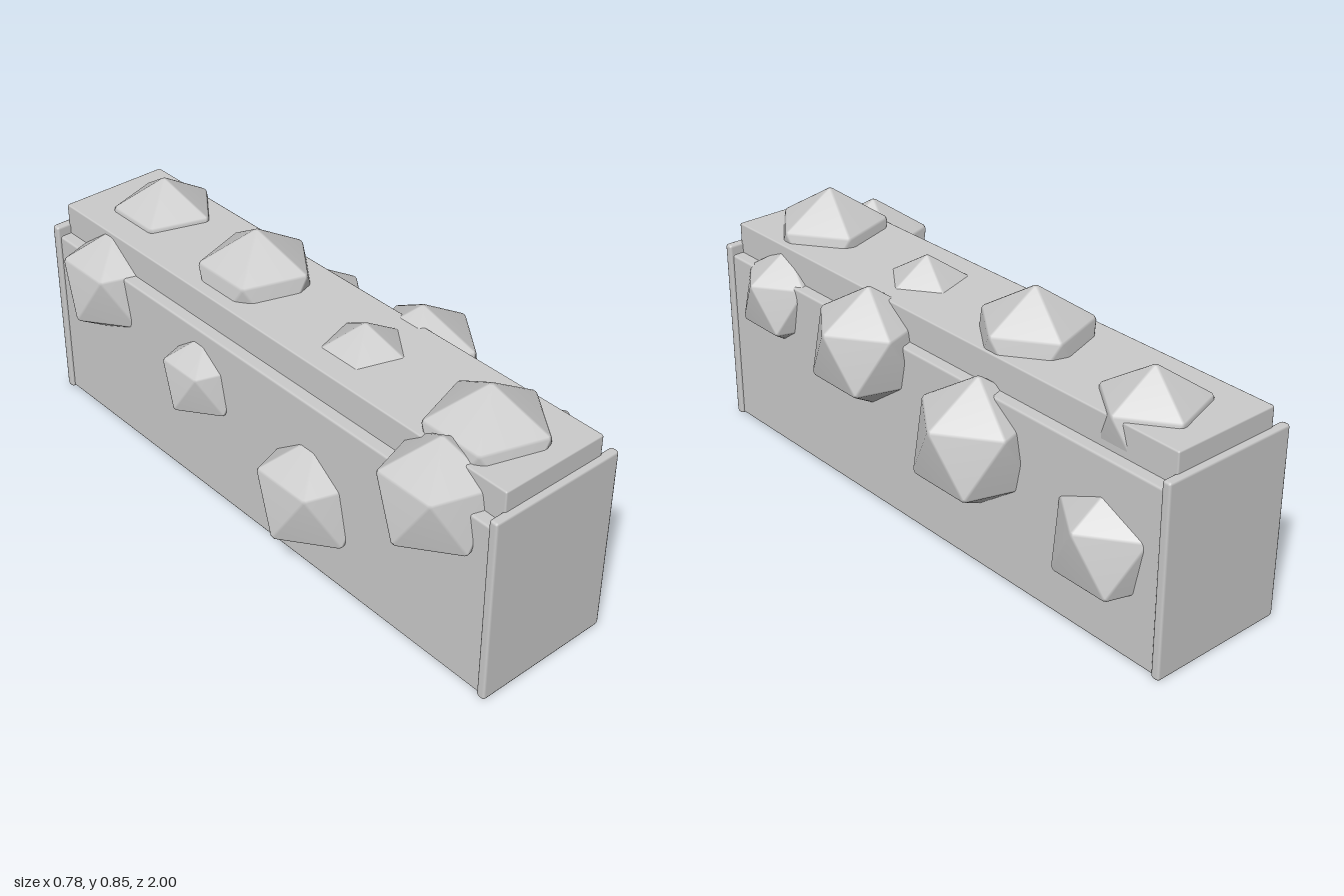
import * as THREE from 'three';
import { RoundedBoxGeometry } from 'three/addons/geometries/RoundedBoxGeometry.js';
import { ConvexGeometry } from 'three/addons/geometries/ConvexGeometry.js';
import { mergeVertices } from 'three/addons/utils/BufferGeometryUtils.js';

const grey = new THREE.MeshStandardMaterial({ color: 0xcccccc });

// Unit icosahedron standing on a corner, with slightly chamfered edges and smooth normals
function boulderGeometry(inset = 0.08) {
  const corners = [new THREE.Vector3(0, 1, 0), new THREE.Vector3(0, -1, 0)];
  const r = 2 / Math.sqrt(5), h = 1 / Math.sqrt(5);
  for (let i = 0; i < 5; i++) {
    const a = (i * 2 * Math.PI) / 5;
    corners.push(new THREE.Vector3(r * Math.cos(a), h, r * Math.sin(a)));
    corners.push(new THREE.Vector3(-r * Math.cos(a), -h, r * Math.sin(a)));
  }
  const near = (a, b) => a.distanceTo(b) < 1.1;
  const points = [];
  for (let i = 0; i < 12; i++) for (let j = i + 1; j < 12; j++) for (let k = j + 1; k < 12; k++) {
    const face = [corners[i], corners[j], corners[k]];
    if (!near(face[0], face[1]) || !near(face[1], face[2]) || !near(face[0], face[2])) continue;
    const centre = new THREE.Vector3().add(face[0]).add(face[1]).add(face[2]).divideScalar(3);
    face.forEach(p => points.push(p.clone().lerp(centre, inset)));
  }
  const hull = new ConvexGeometry(points);
  hull.deleteAttribute('normal');
  const geometry = mergeVertices(hull, 1e-4);
  geometry.computeVertexNormals();
  return geometry;
}

// Bevelled box given by its lower and upper corners
function block(name, min, max, bevel = 0.008) {
  const size = max.map((v, i) => v - min[i]);
  const mesh = new THREE.Mesh(new RoundedBoxGeometry(...size, 1, bevel), grey);
  mesh.position.set(...max.map((v, i) => (v + min[i]) / 2));
  mesh.name = name;
  return mesh;
}

export function createModel() {
  const model = new THREE.Group();
  model.name = 'boulderWall';

  // Wall: wide base, narrower raised core, thin slab on each end
  model.add(block('wallBase', [-0.25, 0.003, -0.985], [0.202, 0.595, 0.985]));
  model.add(block('wallCore', [-0.21, 0.01, -0.98], [0.163, 0.697, 0.98], 0.006));
  model.add(block('frontEndSlab', [-0.26, 0, 0.97], [0.212, 0.63, 1], 0.009));
  model.add(block('backEndSlab', [-0.26, 0, -1], [0.212, 0.63, -0.97], 0.009));

  // Boulders, four per row from front to back: [x, y, radius]
  const rows = {
    topBoulder: [[-0.04, 0.635, 0.205], [-0.03, 0.61, 0.165], [-0.015, 0.655, 0.2], [0.015, 0.625, 0.185]],
    rightBoulder: [[0.138, 0.51, 0.17], [0.198, 0.54, 0.2], [0.2, 0.425, 0.214], [0.138, 0.31, 0.2]],
    leftBoulder: [[-0.215, 0.56, 0.194], [-0.21, 0.265, 0.2], [-0.22, 0.415, 0.15], [-0.185, 0.51, 0.19]],
  };
  const geometry = boulderGeometry();
  for (const [name, row] of Object.entries(rows)) {
    const group = new THREE.Group();
    group.name = name + 's';
    row.forEach(([x, y, radius], i) => {
      const boulder = new THREE.Mesh(geometry, grey);
      boulder.name = name;
      boulder.position.set(x, y, 0.75 - i * 0.5);
      boulder.scale.setScalar(radius);
      group.add(boulder);
    });
    model.add(group);
  }
  return model;
}
